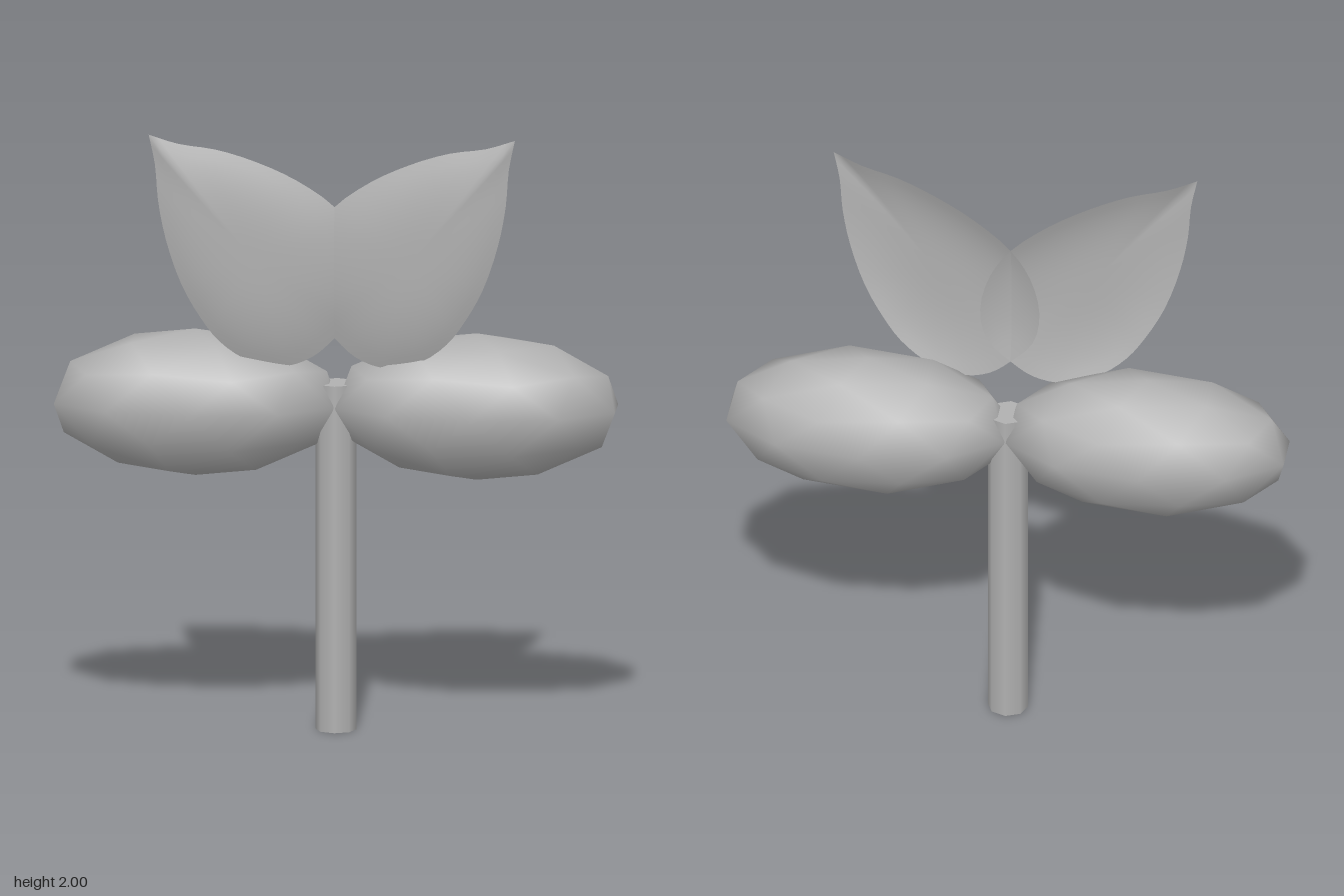
import * as THREE from 'three';

const grey = new THREE.MeshStandardMaterial({ color: 0xb0b0b0, side: THREE.DoubleSide });
grey.name = 'plain grey';

function add(group, name, geometry) {
  const mesh = new THREE.Mesh(geometry, grey);
  mesh.name = name;
  group.add(mesh);
  return mesh;
}

// Coarse ball with a pole on y, stretched sideways
function podGeometry() {
  const g = new THREE.IcosahedronGeometry(1, 1);
  g.rotateX(-Math.atan((1 + Math.sqrt(5)) / 2));
  g.rotateY(Math.PI / 2);
  g.scale(0.478, 0.243, 0.228);
  return g;
}

// Cupped sheet: rings shrink from the outline to the centre and bulge forward
function petalGeometry(side) {
  const outline = [
    [0.595, 2.0], [0.5, 1.967], [0.38, 1.945], [0.25, 1.9], [0.12, 1.835], [0, 1.745],
    [-0.065, 1.65], [-0.097, 1.52], [-0.075, 1.4], [0, 1.31], [0.07, 1.25], [0.15, 1.222],
    [0.22, 1.227], [0.29, 1.25], [0.37, 1.31], [0.43, 1.39], [0.49, 1.5], [0.54, 1.65],
    [0.565, 1.78], [0.575, 1.9],
  ];
  // Open curve that starts and ends at the tip, so the tip stays sharp
  const curve = new THREE.CatmullRomCurve3(
    [...outline, outline[0]].map(([x, y]) => new THREE.Vector3(x, y, 0)));
  const n = 60, rings = 10, cx = 0.25, cy = 1.58;
  const rim = Array.from({ length: n }, (_, i) => curve.getPoint(i / n));
  const positions = [], index = [];
  const put = (x, y, r) =>
    positions.push(side * x, y, 0.06 + 0.19 * x + 0.042 * (1 - r ** 3));
  put(cx, cy, 0);
  for (let k = 1; k <= rings; k++) {
    const r = k / rings;
    for (const p of rim) put(cx + (p.x - cx) * r, cy + (p.y - cy) * r, r);
  }
  const tri = (a, b, c) => (side > 0 ? index.push(a, b, c) : index.push(a, c, b));
  for (let i = 0; i < n; i++) {
    const j = (i + 1) % n;
    tri(0, 1 + i, 1 + j);
    for (let k = 0; k < rings - 1; k++) {
      const a = 1 + k * n, b = a + n;
      tri(a + i, b + i, b + j);
      tri(a + i, b + j, a + j);
    }
  }
  const g = new THREE.BufferGeometry();
  g.setAttribute('position', new THREE.Float32BufferAttribute(positions, 3));
  g.setIndex(index);
  g.computeVertexNormals();
  return g;
}

export function createModel() {
  const model = new THREE.Group();
  model.name = 'flower';

  add(model, 'stem', new THREE.CylinderGeometry(0.066, 0.066, 1.15, 8)).position.y = 0.575;

  for (const [label, side] of [['left', 1], ['right', -1]]) {
    add(model, label + 'Pod', podGeometry()).position.set(side * 0.457, 1.078, 0);
    add(model, label + 'Petal', petalGeometry(side));
  }
  return model;
}
